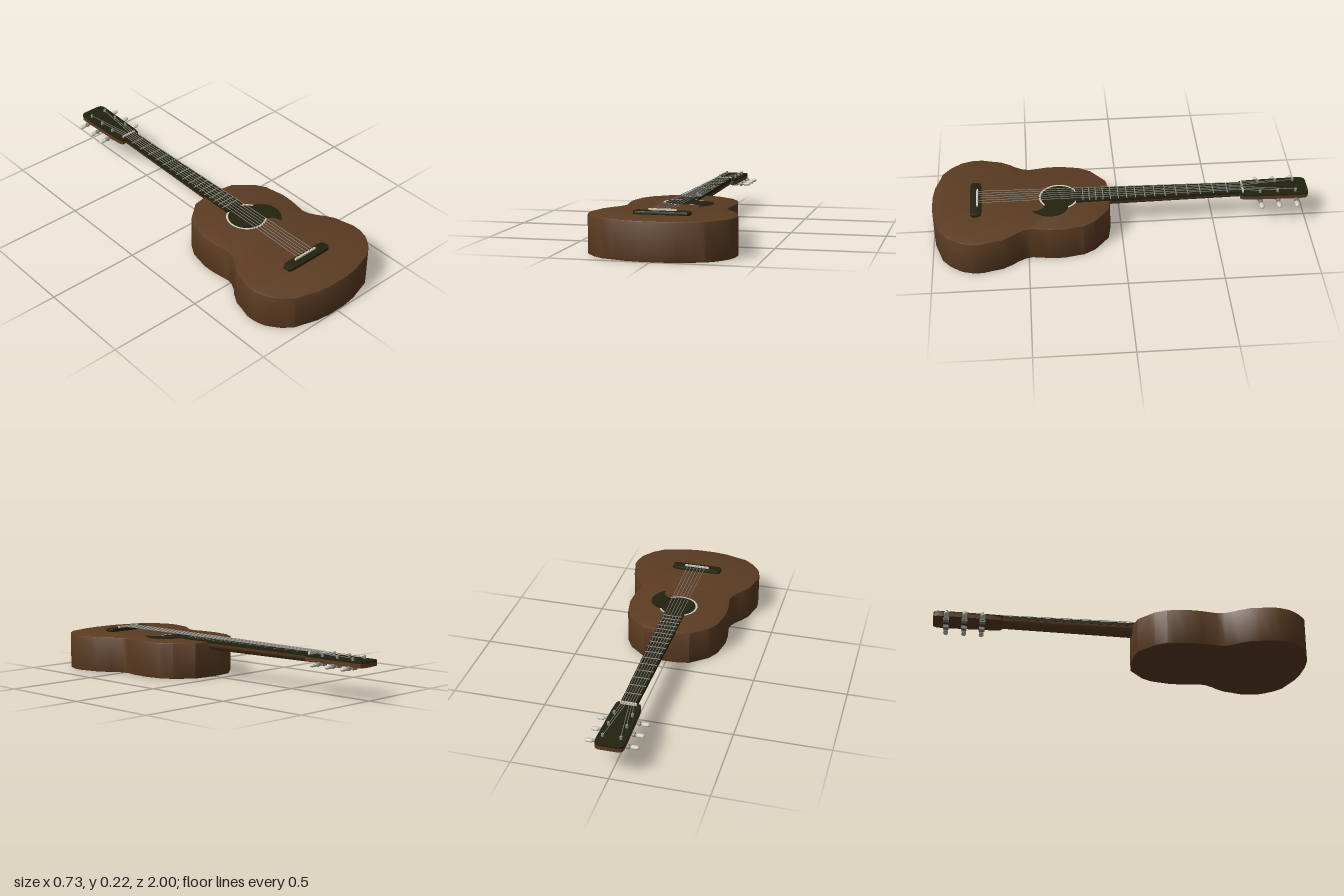
import * as THREE from 'three';
import { toCreasedNormals } from 'three/addons/utils/BufferGeometryUtils.js';

const material = (name, color) => new THREE.MeshStandardMaterial({ name, color });

export function createModel() {
  const guitar = new THREE.Group();
  guitar.name = 'acousticGuitar';
  const wood = material('brown wood', 0x5c3c22);
  const ebony = material('dark ebony', 0x22220f);
  const steel = material('grey steel', 0x8c8c88);
  const ivory = material('ivory', 0xcfcfc0);

  const add = (name, geometry, mat, parent = guitar) => {
    const mesh = new THREE.Mesh(geometry, mat);
    mesh.name = name;
    parent.add(mesh);
    return mesh;
  };
  // Horizontal plate: shape coordinates are (x, z), extruded between two heights
  const slab = (shape, y0, y1, bevel = 0) => {
    const g = new THREE.ExtrudeGeometry(shape, {
      depth: y1 - y0 - 2 * bevel, bevelEnabled: bevel > 0, bevelSize: bevel,
      bevelThickness: bevel, bevelOffset: -bevel, bevelSegments: 2, curveSegments: 12,
    });
    g.rotateX(Math.PI / 2).translate(0, y1 - bevel, 0);
    return toCreasedNormals(g, 0.5);
  };
  const polygon = (pts) => new THREE.Shape(pts.map(([x, z]) => new THREE.Vector2(x, z)));
  const mirrored = (half) => polygon([...half, ...half.slice().reverse().map(([x, z]) => [-x, z])]);
  const box = (w, h, d, x, y, z) => new THREE.BoxGeometry(w, h, d).translate(x, y, z);
  const rod = (a, b, r, sides = 6) => {
    const from = new THREE.Vector3(...a), dir = new THREE.Vector3(...b).sub(from);
    const g = new THREE.CylinderGeometry(r, r, dir.length(), sides);
    g.applyQuaternion(new THREE.Quaternion().setFromUnitVectors(
      new THREE.Vector3(0, 1, 0), dir.clone().normalize()));
    const mid = from.addScaledVector(dir, 0.5);
    return g.translate(mid.x, mid.y, mid.z);
  };

  // Body with two bouts and a waist
  const outline = mirrored([
    [0.05, 0.06], [0.127, 0.073], [0.19, 0.125], [0.22, 0.15], [0.255, 0.21], [0.262, 0.25],
    [0.275, 0.317], [0.272, 0.39], [0.258, 0.48], [0.265, 0.515], [0.29, 0.56], [0.308, 0.58],
    [0.34, 0.635], [0.35, 0.68], [0.366, 0.74], [0.364, 0.79], [0.35, 0.84], [0.335, 0.865],
    [0.3, 0.91], [0.25, 0.95], [0.2, 0.965], [0.127, 0.988], [0.05, 0.998],
  ]);
  add('body', slab(outline, 0, 0.192, 0.004), wood);

  // Sound hole, its rosette and the pickguard hugging its edge
  const hole = new THREE.Vector2(0, 0.33);
  add('soundHole', new THREE.CylinderGeometry(0.094, 0.094, 0.002, 32)
    .translate(hole.x, 0.1925, hole.y), ebony);
  add('rosette', new THREE.RingGeometry(0.096, 0.106, 32).rotateX(-Math.PI / 2)
    .translate(hole.x, 0.1935, hole.y), ivory);
  const guard = new THREE.Shape();
  guard.moveTo(0.075, 0.285);
  guard.bezierCurveTo(0.11, 0.28, 0.165, 0.31, 0.163, 0.385);
  guard.bezierCurveTo(0.16, 0.42, 0.14, 0.45, 0.112, 0.475);
  guard.bezierCurveTo(0.115, 0.44, 0.1, 0.41, 0.055, 0.405);
  guard.quadraticCurveTo(0.1, 0.36, 0.075, 0.285);
  add('pickguard', slab(guard, 0.19, 0.195), ebony);

  // Bridge and saddle
  const bridge = mirrored([
    [0.09, 0.738], [0.128, 0.742], [0.14, 0.752], [0.14, 0.786], [0.128, 0.796], [0.09, 0.798],
  ]);
  add('bridge', slab(bridge, 0.19, 0.209, 0.004), ebony);
  add('saddle', box(0.14, 0.01, 0.01, 0, 0.213, 0.76), ivory);

  // Half-round tapering neck
  const neck = new THREE.CylinderGeometry(0.05, 0.041, 0.75, 20, 1, false, -Math.PI / 2, Math.PI);
  neck.rotateX(Math.PI / 2).scale(1, 0.88, 1).translate(0, 0.188, -0.265);
  wood.side = THREE.DoubleSide;
  add('neck', neck, wood);

  // Fretboard and frets, spaced by the twelfth root of two
  const nutZ = -0.645, saddleZ = 0.76, boardEnd = 0.24;
  const boardHalf = (z) => 0.042 + (0.013 * (z - nutZ)) / (boardEnd - nutZ);
  const board = mirrored([[boardHalf(nutZ), nutZ], [boardHalf(boardEnd), boardEnd]]);
  add('fretboard', slab(board, 0.186, 0.203), ebony);
  for (let n = 1; n <= 16; n++) {
    const z = nutZ + (saddleZ - nutZ) * (1 - Math.pow(2, -n / 12));
    add('fret', box(boardHalf(z) * 2, 0.003, 0.005, 0, 0.204, z), steel);
  }
  add('nut', box(0.084, 0.022, 0.01, 0, 0.198, nutZ - 0.005), ivory);

  // Headstock with dark facing
  const head = mirrored([
    [0.055, -0.635], [0.064, -0.65], [0.068, -0.7], [0.074, -0.95], [0.072, -0.98],
    [0.064, -0.994], [0.05, -1],
  ].reverse());
  add('headstock', slab(head, 0.166, 0.187), wood);
  add('headstockFace', slab(head, 0.187, 0.195), ebony);

  // Tuners: three to a side, each with post, gear box, shaft, collar and button
  const tunerZ = [-0.742, -0.836, -0.932];
  for (const side of [1, -1]) {
    for (const z of tunerZ) {
      const tuner = new THREE.Group();
      tuner.name = 'tuner';
      guitar.add(tuner);
      const x = 0.046 * side, y = 0.16;
      add('post', rod([x, 0.19, z], [x, 0.211, z], 0.007, 10), steel, tuner);
      add('gearBox', box(0.032, 0.018, 0.03, x, y, z), steel, tuner);
      add('shaft', rod([x, y, z], [0.1 * side, y, z], 0.006, 8), steel, tuner);
      add('collar', rod([0.076 * side, y, z], [0.087 * side, y, z], 0.012, 10), steel, tuner);
      const button = new THREE.CapsuleGeometry(0.013, 0.018, 4, 10);
      button.rotateZ(Math.PI / 2).scale(1, 0.75, 1).translate(0.114 * side, y, z);
      add('button', button, ivory, tuner);
    }
  }

  // Six strings from saddle over the nut to the posts
  for (let i = 0; i < 6; i++) {
    const t = (i - 2.5) / 2.5, side = Math.sign(t);
    const postZ = tunerZ[i < 3 ? i : 5 - i];
    const nut = [0.032 * t, 0.21, nutZ - 0.005];
    add('string', rod([0.05 * t, 0.218, saddleZ], nut, 0.0018), steel);
    add('stringEnd', rod(nut, [0.044 * side, 0.205, postZ], 0.0018), steel);
  }
  return guitar;
}
